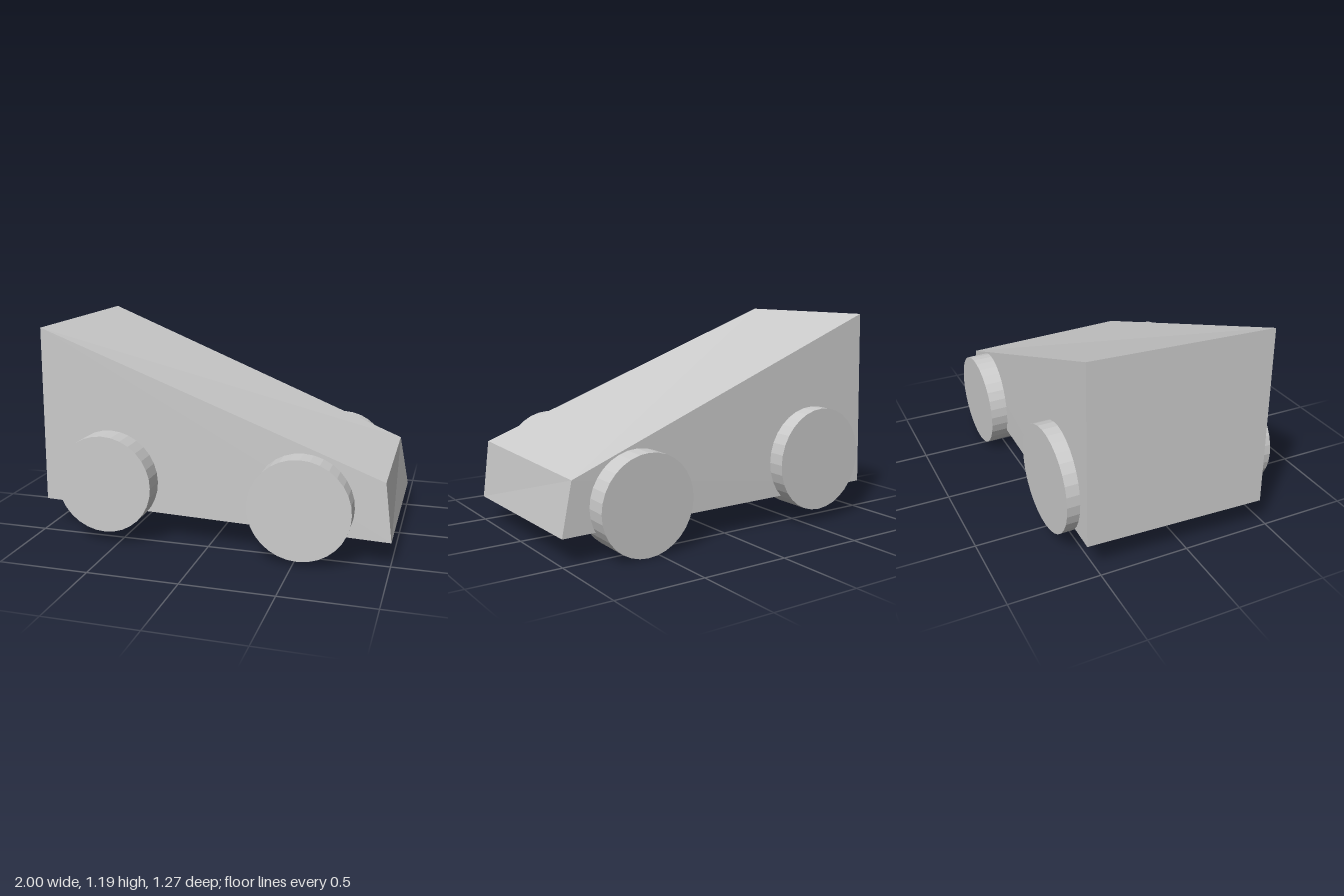
import * as THREE from 'three';

const material = new THREE.MeshStandardMaterial({ color: 0xcccccc, flatShading: true });

// Closed wedge lofted from a rear and a nose quad, each ordered
// bottom +z, bottom -z, top -z, top +z.
function wedge(rear, nose) {
  const geometry = new THREE.BufferGeometry();
  const index = [0, 3, 2, 0, 2, 1, 4, 5, 6, 4, 6, 7]; // rear and nose caps
  for (let i = 0; i < 4; i++) {
    const j = (i + 1) % 4;
    index.push(i, j, 4 + j, 4 + j, 4 + i, i);
  }
  // the roof creases from the rear +z corner to the nose -z corner
  index.splice(24, 6, 2, 3, 6, 3, 7, 6);
  geometry.setAttribute('position', new THREE.Float32BufferAttribute([...rear, ...nose].flat(), 3));
  geometry.setIndex(index);
  const flat = geometry.toNonIndexed();
  flat.computeVertexNormals();
  return flat;
}

// Slightly skewed wheel, axle along z
function wheel(name, radius, width, [x, y, z], tiltX, tiltY) {
  const geometry = new THREE.CylinderGeometry(radius, radius, width, 32);
  geometry.rotateX(Math.PI / 2);
  const mesh = new THREE.Mesh(geometry, material);
  mesh.name = name;
  mesh.position.set(x, y, z);
  mesh.rotation.set(tiltX, tiltY, 0);
  return mesh;
}

export function createModel() {
  const group = new THREE.Group();
  group.name = 'wedgeCar';

  // Body: tall at the rear (-x), low at the nose (+x)
  const body = new THREE.Mesh(wedge(
    [[-1, 0.175, 0.45], [-0.97, 0.18, -0.56], [-0.953, 1.19, -0.55], [-0.983, 1.18, 0.46]],
    [[1, 0.14, 0.51], [1, 0.15, -0.5], [0.943, 0.44, -0.503], [0.96, 0.465, 0.51]],
  ), material);
  body.name = 'body';
  group.add(body);

  // Wheels: each sits a little differently
  group.add(
    wheel('rearWheelNear', 0.275, 0.2, [-0.575, 0.345, 0.502], 0, 0.01),
    wheel('noseWheelNear', 0.277, 0.21, [0.527, 0.307, 0.524], -0.01, 0.015),
    wheel('rearWheelFar', 0.295, 0.21, [-0.585, 0.375, -0.526], -0.005, 0.015),
    wheel('noseWheelFar', 0.275, 0.215, [0.573, 0.281, -0.515], -0.018, 0.01),
  );
  return group;
}
